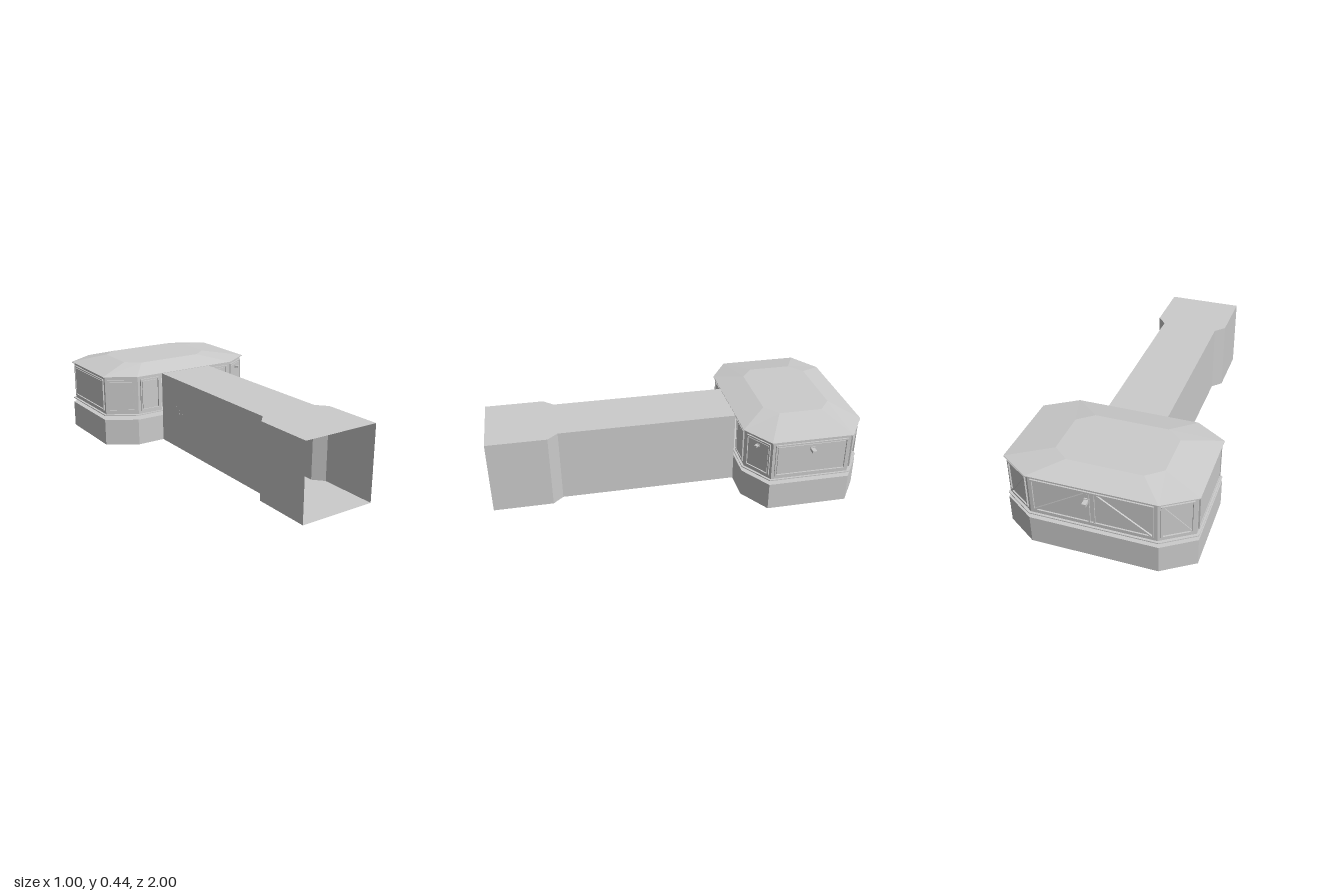
import * as THREE from 'three';

const mat = new THREE.MeshStandardMaterial({ color: 0xcccccc, flatShading: true, side: THREE.DoubleSide });

function add(parent, geo, name, x = 0, y = 0, z = 0) {
  const m = new THREE.Mesh(geo, mat);
  m.name = name;
  m.position.set(x, y, z);
  parent.add(m);
  return m;
}

const box = (w, h, d) => new THREE.BoxGeometry(w, h, d);

// Octagon outline as [x, z] points, from the front left corner round the back
const octagon = (x0, x1, z0, z1, cx, cz) => [
  [x1 - cx, z1], [x1, z1 - cz], [x1, z0 + cz], [x1 - cx, z0],
  [x0 + cx, z0], [x0, z0 + cz], [x0, z1 - cz], [x0 + cx, z1],
];

// Surface between two outlines with the same number of points
function band(lower, y0, upper, y1, closed) {
  const pos = [], n = lower.length;
  for (let i = 0; i < (closed ? n : n - 1); i++) {
    const j = (i + 1) % n;
    const a = [lower[i][0], y0, lower[i][1]], b = [lower[j][0], y0, lower[j][1]];
    const c = [upper[j][0], y1, upper[j][1]], d = [upper[i][0], y1, upper[i][1]];
    pos.push(...a, ...b, ...c, ...a, ...c, ...d);
  }
  const g = new THREE.BufferGeometry();
  g.setAttribute('position', new THREE.Float32BufferAttribute(pos, 3));
  g.computeVertexNormals();
  return g;
}

// Horizontal sheet filling an outline, with an optional hole
function sheet(outline, hole) {
  const pts = o => o.map(([x, z]) => new THREE.Vector2(x, -z));
  const s = new THREE.Shape(pts(outline));
  if (hole) s.holes.push(new THREE.Path(pts(hole)));
  return new THREE.ShapeGeometry(s).rotateX(-Math.PI / 2);
}

// Rectangular picture-frame border centred on the origin
function frame(w, h, t, depth) {
  const rect = (P, a, b) => new P([[-a, -b], [a, -b], [a, b], [-a, b]].map(p => new THREE.Vector2(...p)));
  const s = rect(THREE.Shape, w / 2, h / 2);
  s.holes.push(rect(THREE.Path, w / 2 - t, h / 2 - t));
  return new THREE.ExtrudeGeometry(s, { depth, bevelEnabled: false }).translate(0, 0, -depth / 2);
}

// Diagonal brace between two points of a wall panel
function brace(parent, x0, y0, x1, y1) {
  const b = add(parent, box(Math.hypot(x1 - x0, y1 - y0), 0.008, 0.016), 'diagonalBrace', (x0 + x1) / 2, (y0 + y1) / 2, 0);
  b.rotation.z = Math.atan2(y1 - y0, x1 - x0);
}

// Small outward-pointing lamp on a wall
function lamp(parent, x, y, size, reach) {
  add(parent, box(size, size * 0.65, reach), 'wallLamp', x, y, reach / 2);
  add(parent, box(size * 1.2, size, 0.006), 'lampBase', x, y, 0.008);
}

// Group lying on a wall edge, local +z pointing outward
function wallGroup(parent, name, a, b) {
  const g = new THREE.Group();
  g.name = name;
  g.position.set((a[0] + b[0]) / 2, 0.29, (a[1] + b[1]) / 2);
  let nx = b[1] - a[1], nz = a[0] - b[0];
  if (nx * (g.position.x + 0.02) + nz * (g.position.z + 0.64) < 0) { nx = -nx; nz = -nz; }
  g.rotation.y = Math.atan2(nx, nz);
  parent.add(g);
  return { g, w: Math.hypot(nx, nz) };
}

export function createModel() {
  const model = new THREE.Group();
  model.name = 'corridorAndCabin';
  const L = -0.18, R = 0.14;

  // Corridor: open at the front end, flared mouth
  const corridor = new THREE.Group();
  corridor.name = 'corridor';
  model.add(corridor);
  const rightWall = [[L, -0.32], [L, 0.63], [-0.23, 0.685], [-0.23, 1]];
  const leftWall = [[R, -0.32], [R, 0.63], [0.19, 0.685], [0.19, 1]];
  const plan = [...leftWall, ...[...rightWall].reverse()];
  for (const [wall, side] of [[rightWall, -1], [leftWall, 1]]) {
    add(corridor, band(wall, 0, wall, 0.15), 'corridorLowerWall');
    add(corridor, band(wall, 0.15, wall, 0.4), 'corridorUpperWall');
    const trim = wall.map(([x, z]) => [x + side * 0.001, z]);
    add(corridor, band(trim, 0.147, trim, 0.153), 'corridorSeam');
  }
  add(corridor, sheet(plan), 'corridorFloor');
  add(corridor, sheet(plan), 'corridorRoof', 0, 0.4, 0);

  // Octagonal base, neck and cabin, each with a doorway at the corridor
  const outer = octagon(-0.5, 0.46, -0.965, -0.32, 0.16, 0.105);
  const cab = octagon(-0.487, 0.45, -0.953, -0.332, 0.156, 0.101);
  const neck = octagon(-0.38, 0.345, -0.85, -0.435, 0.12, 0.08);
  const withDoor = o => [[R, o[0][1]], ...o, [L, o[0][1]]];
  const base = new THREE.Group();
  base.name = 'base';
  model.add(base);
  add(base, band(withDoor(outer), 0, withDoor(outer), 0.15), 'baseWall');
  add(base, sheet(outer), 'baseFloor');
  add(base, sheet(outer, neck), 'baseLedge', 0, 0.15, 0);
  add(base, band(withDoor(neck), 0.15, withDoor(neck), 0.175), 'neckWall');

  const cabin = new THREE.Group();
  cabin.name = 'cabin';
  model.add(cabin);
  add(cabin, sheet(outer, neck), 'cabinUnderside', 0, 0.174, 0);
  add(cabin, band(withDoor(outer), 0.174, withDoor(outer), 0.179), 'cabinLowerRim');
  add(cabin, sheet(outer, cab), 'cabinLowerRimTop', 0, 0.179, 0);
  add(cabin, band(withDoor(cab), 0.175, withDoor(cab), 0.4), 'cabinWall');

  // Sloped roof
  const crown = octagon(-0.31, 0.23, -0.835, -0.47, 0.08, 0.065);
  add(cabin, sheet(outer, cab), 'roofEave', 0, 0.398, 0);
  add(cabin, band(outer, 0.398, outer, 0.402, true), 'roofRim');
  add(cabin, band(outer, 0.402, crown, 0.44, true), 'roofSlope');
  add(cabin, sheet(crown), 'roofTop', 0, 0.44, 0);

  // Wall panels, going round from the front left to the front right
  const path = withDoor(cab);
  const names = ['frontLeft', 'frontLeftCorner', 'leftSide', 'backLeftCorner', 'back',
    'backRightCorner', 'rightSide', 'frontRightCorner', 'frontRight'];
  names.forEach((name, i) => {
    const { g, w } = wallGroup(cabin, name + 'Panel', path[i], path[i + 1]);
    const pw = w - 0.03;
    add(g, frame(pw, 0.185, 0.008, 0.016), 'panelFrame');
    if (name === 'back') {
      // Two braces rising to a central post
      for (const s of [-1, 1]) brace(g, s * (pw / 2 - 0.01), -0.085, s * 0.02, 0.085);
      for (const s of [-1, 1]) add(g, box(0.008, 0.18, 0.014), 'windowPost', s * 0.012, 0, 0);
      lamp(g, -0.018, 0.045, 0.022, 0.045);
    } else if (name.startsWith('back')) {
      const s = name === 'backLeftCorner' ? 1 : -1;
      brace(g, -s * (pw / 2 - 0.01), -0.085, s * (pw / 2 - 0.01), 0.085);
    } else {
      add(g, box(pw - 0.024, 0.16, 0.012), 'panelPlate');
    }
    if (name === 'leftSide') lamp(g, 0, 0.054, 0.022, 0.045);
    if (name === 'frontLeftCorner') lamp(g, 0, 0.06, 0.016, 0.03);
  });

  // Framed screen on the inside of the back wall
  const screen = new THREE.Group();
  screen.name = 'screen';
  screen.position.set(0, 0.318, -0.925);
  cabin.add(screen);
  add(screen, frame(0.245, 0.145, 0.008, 0.02), 'screenFrame');
  add(screen, box(0.23, 0.13, 0.01), 'screenPanel');

  // Floor unit with a bent pipe running up the right wall
  const unit = new THREE.Group();
  unit.name = 'floorUnit';
  unit.position.set(-0.14, 0, -0.13);
  model.add(unit);
  add(unit, box(0.08, 0.006, 0.06), 'unitFoot', 0, 0.003, 0);
  add(unit, box(0.065, 0.032, 0.045), 'unitBody', 0, 0.022, 0);
  add(unit, new THREE.CylinderGeometry(0.004, 0.014, 0.038, 8), 'unitNozzle', 0, 0.057, 0);
  const bend = new THREE.CatmullRomCurve3([[-0.016, 0.03], [-0.016, 0.12], [-0.016, 0.185], [-0.02, 0.197], [-0.036, 0.2]]
    .map(([x, y]) => new THREE.Vector3(x, y, 0)));
  add(unit, new THREE.TubeGeometry(bend, 20, 0.004, 8), 'unitPipe');
  for (let i = 0; i < 3; i++) add(unit, box(0.01, 0.02, 0.012), 'wallBracket', -0.036, 0.2 + i * 0.015, 0.03 - i * 0.035);

  return model;
}
